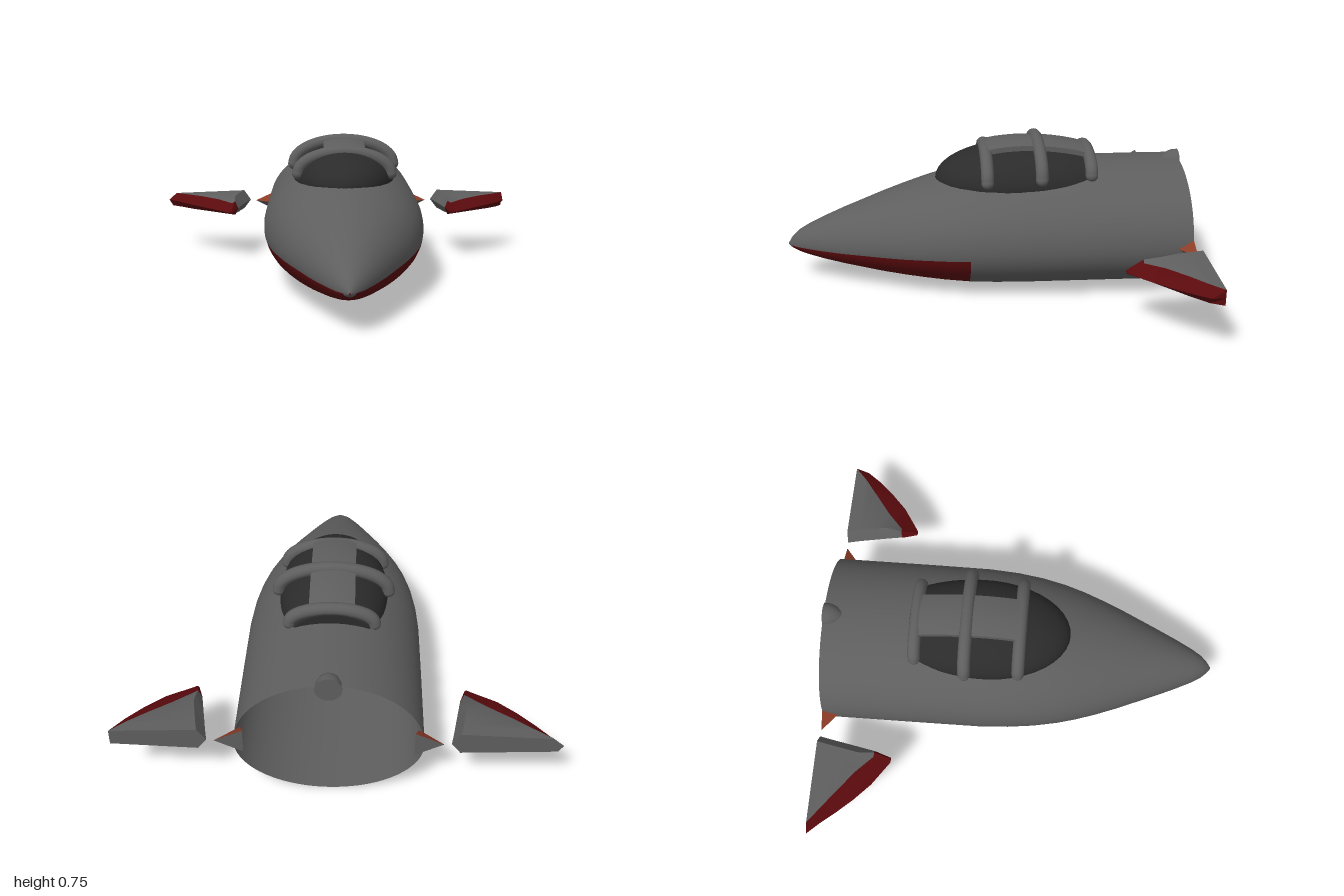
import * as THREE from 'three';
import { toCreasedNormals } from 'three/addons/utils/BufferGeometryUtils.js';

const CX = 0.03; // centre line of the aircraft
const BACK = -0.985;

const mat = (name, color) => new THREE.MeshStandardMaterial({ name, color, side: THREE.DoubleSide });

// Skins a list of closed rings (nose to tail); pick(i, j) gives the material index of a face
function loft(rings, { pick = () => 0, flip = false, crease = 0 } = {}) {
  const n = rings[0].length;
  const lists = [[], []];
  for (let i = 0; i < rings.length - 1; i++) {
    for (let j = 0; j < n; j++) {
      const a = i * n + j, b = a + n;
      const d = i * n + (j + 1) % n, c = d + n;
      lists[pick(i, j)].push(...(flip ? [a, c, b, a, d, c] : [a, b, c, a, c, d]));
    }
  }
  const g = new THREE.BufferGeometry();
  g.setAttribute('position', new THREE.Float32BufferAttribute(rings.flat(2), 3));
  g.setIndex([...lists[0], ...lists[1]]);
  g.addGroup(0, lists[0].length, 0);
  g.addGroup(lists[0].length, lists[1].length, 1);
  g.computeVertexNormals();
  return crease ? toCreasedNormals(g, crease) : g;
}

// Ring collapsed to the middle of another one, closing an end
function cap(ring) {
  const c = [0, 1, 2].map(k => ring.reduce((s, p) => s + p[k], 0) / ring.length);
  return ring.map(() => c);
}

// Oval ring with different upper and lower heights
function oval(z, hw, mid, up, down, n = 48, start = 0) {
  return Array.from({ length: n }, (_, j) => {
    const a = start + j / n * Math.PI * 2, s = Math.sin(a);
    return [CX + hw * Math.cos(a), mid + s * (s > 0 ? up : down), z];
  });
}

// Canopy size factor along z
const canopyScale = z => Math.sqrt(Math.max(0, 1 - ((z + 0.2) / (z > -0.2 ? 0.437 : 0.51)) ** 2));

export function createModel() {
  const grey = mat('hullGrey', 0x5e5e5e);
  const dark = mat('canopyDark', 0x2b2b2b);
  const red = mat('darkRed', 0x5a0a0d);
  const rust = mat('rustOrange', 0x8c3c26);
  const model = new THREE.Group();
  model.name = 'aircraftFront';
  const add = (name, geometry, material, parent = model) => {
    const m = new THREE.Mesh(geometry, material);
    m.name = name;
    parent.add(m);
    return m;
  };

  // Fuselage, open at the back: z, half width, top, bottom, height of widest line
  const hull = [
    [0.983, 0.004, 0.203, 0.193, 0.198], [0.965, 0.028, 0.232, 0.18, 0.2], [0.93, 0.06, 0.268, 0.163, 0.205],
    [0.88, 0.09, 0.297, 0.146, 0.21], [0.8, 0.13, 0.335, 0.125, 0.215], [0.7, 0.176, 0.377, 0.103, 0.222],
    [0.6, 0.22, 0.415, 0.084, 0.232], [0.5, 0.264, 0.453, 0.066, 0.241], [0.4, 0.304, 0.488, 0.051, 0.25],
    [0.3, 0.34, 0.52, 0.038, 0.26], [0.2, 0.369, 0.55, 0.026, 0.268], [0.08, 0.394, 0.577, 0.015, 0.276],
    [-0.05, 0.411, 0.597, 0.011, 0.281], [-0.2, 0.42, 0.61, 0.01, 0.283], [-0.5, 0.421, 0.617, 0.01, 0.284],
    [BACK, 0.421, 0.617, 0.01, 0.284]];
  const SIDES = 64;
  const start = -0.14;
  const upper = Math.round((Math.PI + 0.28) / (Math.PI * 2) * SIDES);
  add('fuselage', loft(
    hull.map(([z, w, t, b, m]) => oval(z, w, m, t - m, m - b, SIDES, start)),
    { pick: (i, j) => (i > 0 && i < 11 && j >= upper ? 1 : 0) }), [grey, red]);

  // Canopy glass
  const canopy = [];
  for (let i = 0; i <= 20; i++) {
    const z = -0.158 + 0.395 * Math.cos(i / 20 * Math.PI);
    const f = Math.max(canopyScale(z), 0.01);
    canopy.push(oval(z, 0.26 * f, 0.535, 0.178 * f, 0.12 * f));
  }
  canopy.push(cap(canopy[20]));
  add('canopy', loft(canopy, { crease: 0.8 }), dark);

  // Canopy frame: three hoops with rounded ends
  const frame = new THREE.Group();
  frame.name = 'canopyFrame';
  model.add(frame);
  for (const [z, hw, base, top] of [[-0.01, 0.235, 0.58, 0.69], [-0.27, 0.262, 0.6, 0.726], [-0.52, 0.195, 0.595, 0.675]]) {
    const pts = [];
    for (let i = 0; i <= 12; i++) {
      const a = i / 12 * Math.PI;
      pts.push(new THREE.Vector3(CX + hw * Math.cos(a), base + (top - base) * Math.sin(a), z));
    }
    add('hoop', new THREE.TubeGeometry(new THREE.CatmullRomCurve3(pts), 40, 0.031, 12), grey, frame);
    for (const p of [pts[0], pts[12]]) {
      add('hoopEnd', new THREE.SphereGeometry(0.031, 16, 10), grey, frame).position.copy(p);
    }
  }

  // Broad strip along the top of the canopy
  const strip = [];
  for (let i = 0; i <= 10; i++) {
    const z = -0.015 - 0.05 * i, f = canopyScale(z);
    const at = (x, lift) => [CX + x, 0.535 + 0.178 * f * Math.sqrt(1 - (x / (0.26 * f)) ** 2) + lift, z];
    const xs = [0.105, 0.06, 0, -0.06, -0.105];
    strip.push([...xs.map(x => at(x, 0.025)), ...xs.reverse().map(x => at(x, -0.01))]);
  }
  add('canopyStrip', loft([cap(strip[0]), ...strip, cap(strip[10])], { crease: 0.6 }), grey, frame);

  // Pointed fairing on the spine
  const bump = [[-0.88, 0.002], [-0.9, 0.025], [-0.925, 0.046], [-0.955, 0.058], [BACK, 0.06]]
    .map(([z, r]) => oval(z, r, 0.596, r, r, 24));
  add('spineFairing', loft([...bump, cap(bump[4])], { crease: 0.8 }), grey);

  // Wings and side fins; z, outer edge, inside of the red band, inner edge, thickness, centre height
  const wing = [
    [-0.62, 0.645, 0.635, 0.62, 0.15, 0.277], [-0.7, 0.765, 0.63, 0.595, 0.72, 0.288],
    [-0.78, 0.85, 0.715, 0.58, 0.9, 0.292], [-0.86, 0.922, 0.82, 0.565, 1, 0.294],
    [-0.925, 0.975, 0.905, 0.553, 1, 0.295], [BACK, 1.03, 0.985, 0.54, 1, 0.295]];
  for (const s of [1, -1]) {
    const side = s > 0 ? 'left' : 'right';
    const place = (u, y, z) => [CX + s * Math.min(u, s > 0 ? 0.97 : 1.03), y, z];
    const rings = wing.map(([z, uo, ub, ui, k, c]) => {
      const shoulder = Math.min(ui + 0.04, (ui + ub) / 2);
      return [
        place(uo, c, z), place(ub, c + 0.04 * k, z), place(shoulder, c + 0.056 * k, z),
        place(ui, c, z), place(shoulder, c - 0.053 * k, z), place((ub + uo) / 2, c - 0.035 * k, z)];
    });
    add(side + 'Wing', loft([cap(rings[0]), ...rings, cap(rings[5])], {
      pick: (i, j) => (i < 2 || (i < 6 && (j === 0 || j === 5)) ? 1 : 0), flip: s < 0, crease: 0.5,
    }), [grey, red]);

    // Small wedge on the hull side: rust above, grey below
    const fin = [[-0.9, 0.05], [BACK, 1]].map(([z, k]) => [
      place(0.4 + 0.108 * k, 0.29, z), place(0.4 - 0.02 * k, 0.29 + 0.06 * k, z),
      place(0.4 - 0.02 * k, 0.29 - 0.065 * k, z)]);
    add(side + 'Fin', loft([...fin, cap(fin[1])], {
      pick: (i, j) => (j === 0 && i === 0 ? 1 : 0), flip: s < 0, crease: 0.3,
    }), [grey, rust]);
  }
  return model;
}
